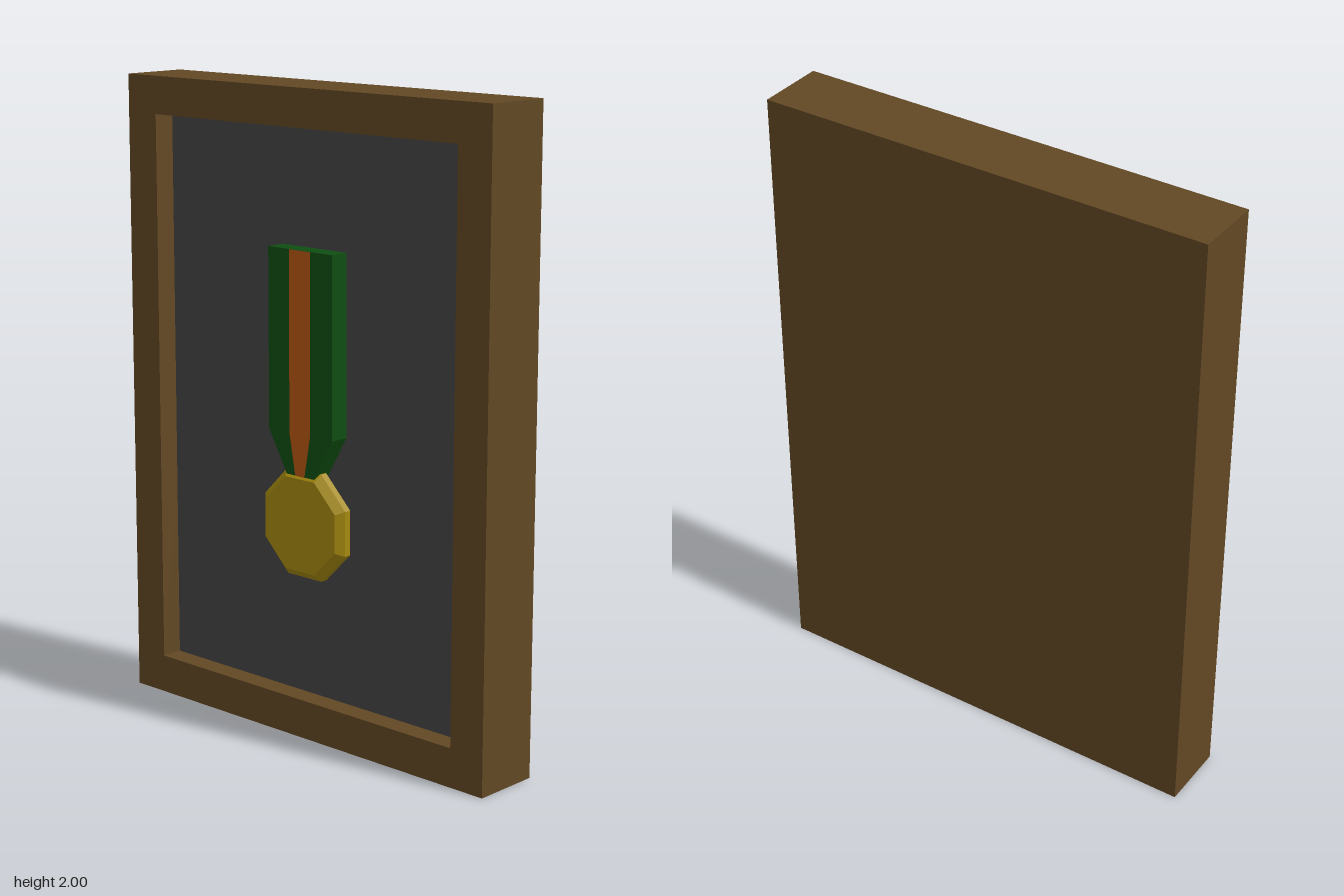
import * as THREE from 'three';

const mat = (name, color, extra = {}) => {
  const m = new THREE.MeshStandardMaterial({ color, ...extra });
  m.name = name;
  return m;
};

const polygon = (points) => new THREE.Shape(points.map(([x, y]) => new THREE.Vector2(x, y)));

// Symmetric strap outline: straight upper part tapering to a narrow foot
const strap = (halfTop, halfFoot, top = 1.52, kink = 0.96, foot = 0.83) => polygon([
  [-halfFoot, foot], [halfFoot, foot], [halfTop, kink],
  [halfTop, top], [-halfTop, top], [-halfTop, kink],
]);

const rect = (halfWidth, y0, y1) => [
  [-halfWidth, y0], [halfWidth, y0], [halfWidth, y1], [-halfWidth, y1],
];

export function createModel() {
  const group = new THREE.Group();
  const wood = mat('wood', 0x624824);
  const backing = mat('backing', 0x464646);
  const green = mat('ribbonGreen', 0x0e4e12);
  const orange = mat('ribbonOrange', 0xba5812);
  const gold = mat('gold', 0xa68a10, { flatShading: true });

  const add = (name, geometry, material, x = 0, y = 0, z = 0) => {
    const mesh = new THREE.Mesh(geometry, material);
    mesh.name = name;
    mesh.position.set(x, y, z);
    group.add(mesh);
    return mesh;
  };
  const extrude = (shape, depth) =>
    new THREE.ExtrudeGeometry(shape, { depth, bevelEnabled: false });

  const front = 0.11, panelZ = 0.04;

  // Wooden frame with its window, closed by a solid back
  const frame = polygon(rect(0.733, 0, 2));
  frame.holes.push(polygon(rect(0.611, 0.122, 1.882)));
  add('frame', extrude(frame, front * 2), wood, 0, 0, -front);
  add('backBoard', new THREE.BoxGeometry(1.3, 1.84, 0.1), wood, 0, 1, -front + 0.05);

  // Dark recessed panel
  add('backingPanel', new THREE.BoxGeometry(1.222, 1.76, 0.05), backing, 0, 1.002, panelZ - 0.025);

  // Ribbon with a thin centre stripe on its face
  add('ribbon', extrude(strap(0.131, 0.056), 0.063), green, 0, 0, panelZ);
  add('ribbonStripe', new THREE.ShapeGeometry(strap(0.043, 0.019)), orange, 0, 0, panelZ + 0.065);

  // Octagonal medal, bevelled towards front and back (profile: flat-to-centre distance, depth)
  const toCorner = 1 / Math.cos(Math.PI / 8);
  const profile = [[0, 0], [0.145, 0], [0.168, 0.022], [0.168, 0.044], [0.145, 0.066], [0, 0.066]]
    .map(([r, d]) => new THREE.Vector2(r * toCorner, d));
  const medal = add('medal', new THREE.LatheGeometry(profile, 8, Math.PI / 8), gold, 0, 0.677, panelZ);
  medal.rotation.x = Math.PI / 2;

  return group;
}
